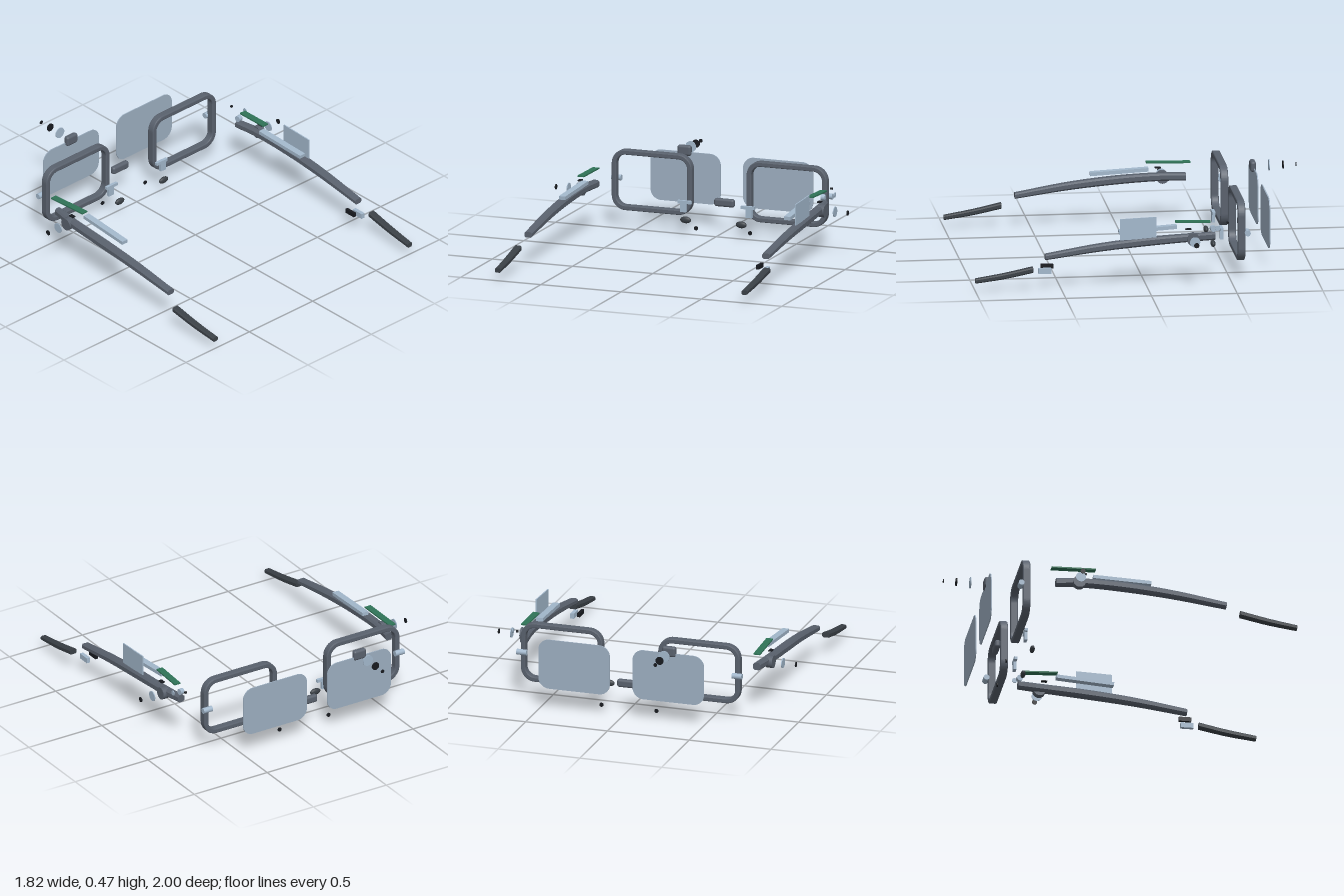
import * as THREE from 'three';
import { RoundedBoxGeometry } from 'three/addons/geometries/RoundedBoxGeometry.js';

const mat = (name, color) => {
  const m = new THREE.MeshStandardMaterial({ color });
  m.name = name;
  return m;
};

// Rounded rectangle centred on the origin
function roundRect(Type, w, h, r) {
  const s = new Type(), x = w / 2, y = h / 2;
  s.moveTo(-x + r, -y);
  s.lineTo(x - r, -y); s.absarc(x - r, -y + r, r, -Math.PI / 2, 0);
  s.lineTo(x, y - r); s.absarc(x - r, y - r, r, 0, Math.PI / 2);
  s.lineTo(-x + r, y); s.absarc(-x + r, y - r, r, Math.PI / 2, Math.PI);
  s.lineTo(-x, -y + r); s.absarc(-x + r, -y + r, r, Math.PI, Math.PI * 1.5);
  return s;
}

// Bar running along z, with a chamfered section; keys are [x, y, z, width, height]
function sweptBar(keys, steps) {
  const path = new THREE.CatmullRomCurve3(keys.map(k => new THREE.Vector3(k[0], k[1], k[2])));
  const size = new THREE.CatmullRomCurve3(keys.map(k => new THREE.Vector3(k[3], k[4], 0)));
  const n = 8, pos = [], idx = [];
  for (let i = 0; i <= steps; i++) {
    const p = path.getPoint(i / steps), s = size.getPoint(i / steps);
    const x = s.x / 2, y = s.y / 2, c = Math.min(x, y) * 0.45;
    const ring = [[x, -y + c], [x, y - c], [x - c, y], [-x + c, y], [-x, y - c], [-x, -y + c], [-x + c, -y], [x - c, -y]];
    ring.forEach(q => pos.push(p.x + q[0], p.y + q[1], p.z));
  }
  for (let i = 0; i < steps; i++) for (let j = 0; j < n; j++) {
    const a = i * n + j, b = i * n + (j + 1) % n;
    idx.push(a, b, a + n, b, b + n, a + n);
  }
  const last = steps * n;
  for (let j = 1; j < n - 1; j++) {
    idx.push(0, j + 1, j, last, last + j, last + j + 1);
  }
  const g = new THREE.BufferGeometry();
  g.setAttribute('position', new THREE.Float32BufferAttribute(pos, 3));
  g.setIndex(idx);
  const flat = g.toNonIndexed();
  flat.computeVertexNormals();
  return flat;
}

export function createModel() {
  const model = new THREE.Group();
  model.name = 'explodedSmartGlasses';
  const frame = mat('frameGrey', 0x59616d);
  const tipDark = mat('tipCharcoal', 0x3a4046);
  const metal = mat('paleMetal', 0xa3b8cc);
  const glass = mat('lensBlue', 0x9dafc1);
  const black = mat('black', 0x181b20);
  const green = mat('boardGreen', 0x2f7357);

  const add = (name, geo, material, x = 0, y = 0, z = 0) => {
    const m = new THREE.Mesh(geo, material);
    m.name = name;
    m.position.set(x, y, z);
    model.add(m);
    return m;
  };
  const box = (name, material, w, h, d, x, y, z) =>
    add(name, new THREE.BoxGeometry(w, h, d), material, x, y, z);
  // Discs with their axis along x or z
  const disc = (name, material, axis, r, len, x, y, z) => {
    const g = new THREE.CylinderGeometry(r, r, len, 28);
    if (axis === 'x') g.rotateZ(Math.PI / 2); else g.rotateX(Math.PI / 2);
    return add(name, g, material, x, y, z);
  };

  // Parts mirrored on both sides
  for (const s of [1, -1]) {
    const side = s > 0 ? 'left' : 'right';

    // Rim with bevelled edges
    const bv = 0.006;
    const rimShape = roundRect(THREE.Shape, 0.5 - 2 * bv, 0.36 - 2 * bv, 0.08);
    rimShape.holes.push(roundRect(THREE.Path, 0.44 + 2 * bv, 0.30 + 2 * bv, 0.062));
    const rim = new THREE.ExtrudeGeometry(rimShape, {
      depth: 0.045 - 2 * bv, bevelThickness: bv, bevelSize: bv, bevelSegments: 2, curveSegments: 8 });
    rim.translate(0, 0, -0.0225 + bv);
    add(side + 'Rim', rim, frame, s * 0.42, 0.28, -0.567);

    // Lens
    const lens = new THREE.ExtrudeGeometry(roundRect(THREE.Shape, 0.436, 0.3, 0.065),
      { depth: 0.006, bevelEnabled: false, curveSegments: 8 });
    add(side + 'Lens', lens, glass, s * 0.288, 0.28, -0.753);

    // Hinge pin beside the rim
    disc(side + 'HingePin', metal, 'x', 0.017, 0.06, s * 0.658, 0.28, -0.6);

    // Nose pad, its bracket and screw
    add(side + 'NosePad', new THREE.SphereGeometry(1, 24, 16).scale(0.034, 0.02, 0.014), tipDark,
      s * 0.173, 0.098, -0.458);
    box(side + 'PadBracketBar', metal, 0.084, 0.018, 0.018, s * 0.197, 0.192, -0.503);
    box(side + 'PadBracketStem', metal, 0.038, 0.05, 0.018, s * 0.205, 0.158, -0.503);
    disc(side + 'PadScrew', black, 'z', 0.012, 0.006, s * 0.168, 0.015, -0.61);

    // Temple arm and ear tip
    add(side + 'Temple', sweptBar([
      [s * 0.712, 0.28, -0.405, 0.045, 0.044], [s * 0.734, 0.278, -0.25, 0.054, 0.044],
      [s * 0.743, 0.264, 0, 0.058, 0.046], [s * 0.743, 0.236, 0.28, 0.055, 0.042],
      [s * 0.74, 0.189, 0.59, 0.048, 0.032]], 18), frame);
    add(side + 'EarTip', sweptBar([
      [s * 0.774, 0.124, 0.665, 0.046, 0.032], [s * 0.771, 0.09, 0.83, 0.042, 0.031],
      [s * 0.767, 0.064, 1, 0.037, 0.026]], 10), tipDark);

    // Touch button stack
    disc(side + 'ButtonSeat', frame, 'x', 0.037, 0.04, s * 0.752, 0.272, -0.273);
    disc(side + 'ButtonPlate', metal, 'x', 0.03, 0.005, s * 0.829, 0.272, -0.275);
    disc(side + 'ButtonCap', black, 'x', 0.015, 0.005, s * 0.908, 0.272, -0.275);

    // Battery, circuit board and chip
    const battery = box(side + 'Battery', metal, 0.04, 0.021, 0.34, s * 0.696, 0.326, -0.014);
    battery.rotation.x = 0.06;
    battery.rotation.y = s * 0.03;
    const len = s > 0 ? 0.205 : 0.26;
    const board = box(side + 'CircuitBoard', green, 0.04, 0.008, len, s * 0.717, 0.369, -0.172 - len / 2);
    board.rotation.x = -0.03;
    board.rotation.y = s * -0.03;
    box(side + 'Chip', black, 0.022, 0.006, 0.034, s * 0.745, 0.331, -0.245);
  }

  // Bridge
  add('bridge', new RoundedBoxGeometry(0.125, 0.048, 0.034, 3, 0.014), frame, -0.003, 0.175, -0.642);

  // Camera housing, lens elements and cap
  add('cameraHousing', new RoundedBoxGeometry(0.084, 0.062, 0.034, 3, 0.014), frame, -0.292, 0.44, -0.745);
  disc('cameraLens', metal, 'z', 0.033, 0.005, -0.292, 0.44, -0.84);
  disc('cameraIris', black, 'z', 0.024, 0.006, -0.292, 0.44, -0.922);
  disc('cameraCap', black, 'z', 0.011, 0.004, -0.292, 0.44, -0.998);

  // Clear touch panel above the left temple
  const panel = new THREE.Shape([
    new THREE.Vector2(-0.155, 0.278), new THREE.Vector2(0.057, 0.286),
    new THREE.Vector2(0.057, 0.412), new THREE.Vector2(-0.155, 0.404)]);
  const panelGeo = new THREE.ExtrudeGeometry(panel, { depth: 0.007, bevelEnabled: false });
  panelGeo.rotateY(Math.PI / 2);
  add('touchPanel', panelGeo, metal, 0.75, 0, 0);

  // Small hinge hardware on the left temple
  const barrel = disc('hingeBarrel', metal, 'x', 0.018, 0.025, 0.708, 0.322, -0.395);
  barrel.rotation.y = 0.15;
  disc('hingeWasher', metal, 'x', 0.015, 0.004, 0.774, 0.338, -0.413);
  disc('hingeScrew', black, 'x', 0.007, 0.012, 0.728, 0.358, -0.477);

  // Speaker and connector behind the left temple
  box('speaker', black, 0.017, 0.026, 0.072, 0.695, 0.123, 0.573);
  box('connector', metal, 0.022, 0.032, 0.075, 0.741, 0.106, 0.592);

  return model;
}
